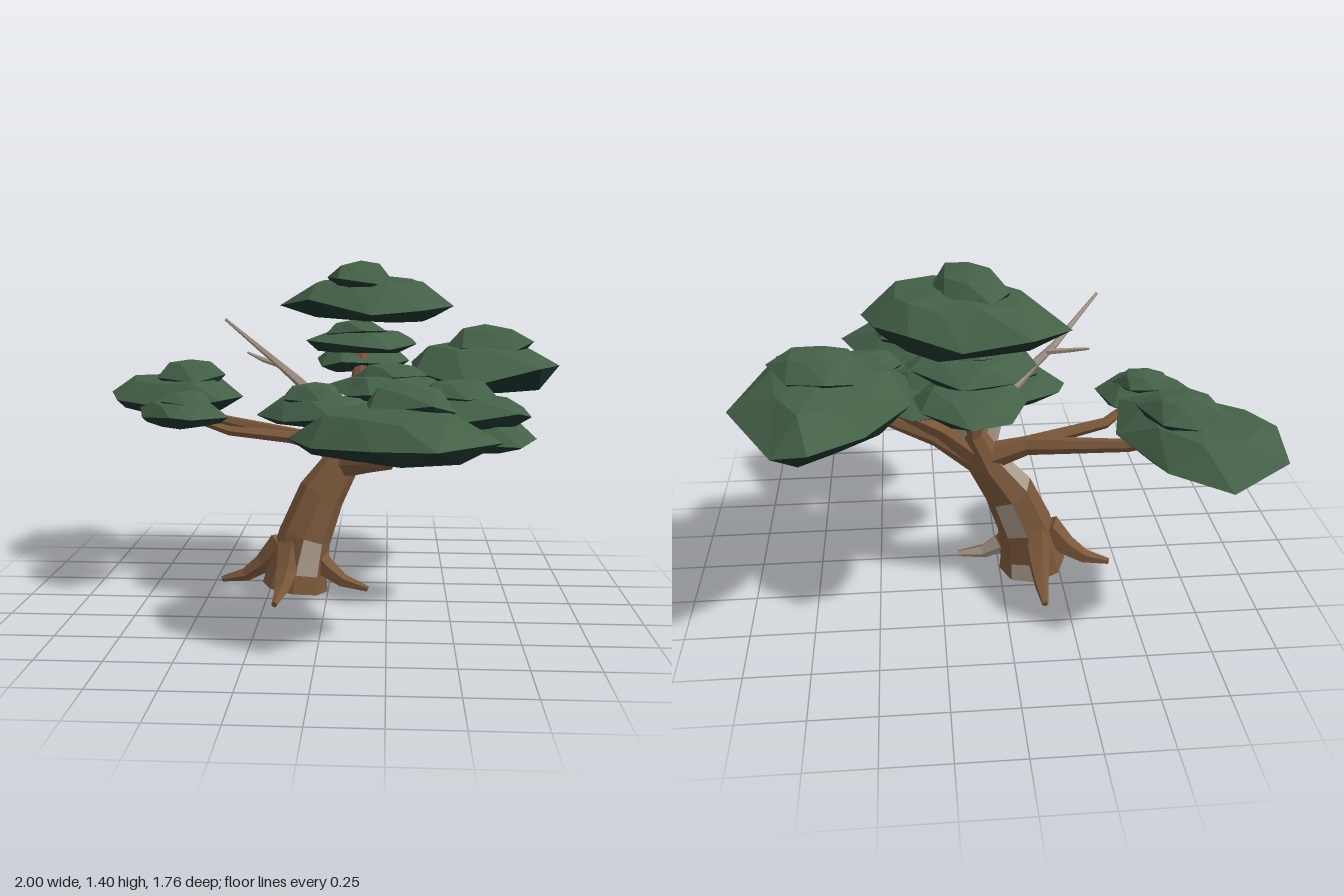
import * as THREE from 'three';

const foliageTop = new THREE.MeshStandardMaterial({ color: 0x446148 });
const foliageUnder = new THREE.MeshStandardMaterial({ color: 0x1d332c });
const bark = new THREE.MeshStandardMaterial({ color: 0x7b583b });
const deadwood = new THREE.MeshStandardMaterial({ color: 0xaa9c8c });
[[foliageTop, 'leaf green'], [foliageUnder, 'deep leaf green'], [bark, 'bark brown'], [deadwood, 'deadwood grey']]
  .forEach(([m, n]) => { m.name = n; });

const V = (x, y, z) => new THREE.Vector3(x, y, z);

function seeded(seed) {
  let s = seed * 7919 + 17;
  return () => { s = (s * 16807) % 2147483647; return s / 2147483647; };
}

// Faceted mesh from a list of corner triples
function facets(name, tris, material) {
  const geometry = new THREE.BufferGeometry().setFromPoints(tris.flat());
  geometry.computeVertexNormals();
  const mesh = new THREE.Mesh(geometry, material);
  mesh.name = name;
  return mesh;
}

// Tapered low-poly limb; each point is [x, y, z, radius]. Bare patches are "ring,side" faces.
function limb(name, points, sides, material = bark, patches = []) {
  const centres = points.map(p => V(p[0], p[1], p[2]));
  const last = points.length - 1;
  const whole = centres[last].clone().sub(centres[0]).normalize();
  const ref = Math.abs(whole.y) < 0.7 ? V(0, 1, 0) : V(0, 0, 1);
  const rings = centres.map((c, i) => {
    const t = centres[Math.min(i + 1, last)].clone().sub(centres[Math.max(i - 1, 0)]).normalize();
    const u = ref.clone().cross(t).normalize();
    const v = t.clone().cross(u);
    return Array.from({ length: sides }, (_, j) => {
      const a = j / sides * Math.PI * 2;
      return c.clone().addScaledVector(u, Math.cos(a) * points[i][3]).addScaledVector(v, Math.sin(a) * points[i][3]);
    });
  });
  const main = [], grey = [];
  for (let j = 0; j < sides; j++) {
    const k = (j + 1) % sides;
    for (let i = 0; i < last; i++) {
      const [a, b, c, d] = [rings[i][j], rings[i][k], rings[i + 1][k], rings[i + 1][j]];
      (patches.includes(`${i},${j}`) ? grey : main).push([a, b, c], [a, c, d]);
    }
    main.push([centres[0], rings[0][k], rings[0][j]], [centres[last], rings[last][j], rings[last][k]]);
  }
  const group = new THREE.Group();
  group.name = name;
  group.add(facets(name + 'Surface', main, material));
  if (grey.length) group.add(facets(name + 'BareStrip', grey, deadwood));
  return group;
}

// Uneven oval outline, ordered from +x towards +z
function oval(cx, cz, rx, rz, n, seed) {
  const rnd = seeded(seed);
  return Array.from({ length: n }, (_, j) => {
    const a = (j + 0.5 * rnd()) / n * Math.PI * 2, r = 0.9 + 0.14 * rnd();
    return [cx + Math.cos(a) * rx * r, cz + Math.sin(a) * rz * r];
  });
}

// Flattened foliage pad: sharp rim, domed top, shallow dark underside
function pad(name, outline, y0, y1, seed) {
  const rnd = seeded(seed), n = outline.length, h = y1 - y0;
  const cx = outline.reduce((s, p) => s + p[0], 0) / n;
  const cz = outline.reduce((s, p) => s + p[1], 0) / n;
  const rim = outline.map(([x, z]) => V(x, y0 + h * (0.22 + 0.34 * rnd()), z));
  const half = (scale, level, centreY, flip) => {
    const inner = rim.map((p, j) => {
      const m = p.clone().add(rim[(j + 1) % n]).multiplyScalar(0.5);
      const s = scale * (0.9 + 0.2 * rnd());
      return V(cx + (m.x - cx) * s, y0 + h * (level + 0.12 * (rnd() - 0.5)), cz + (m.z - cz) * s);
    });
    const centre = V(cx, centreY, cz), tris = [];
    rim.forEach((a, j) => {
      const k = (j + 1) % n;
      tris.push([a, inner[j], rim[k]], [inner[j], inner[k], rim[k]], [inner[j], centre, inner[k]]);
    });
    return flip ? tris.map(([a, b, c]) => [a, c, b]) : tris;
  };
  const group = new THREE.Group();
  group.name = name;
  group.add(facets(name + 'Top', half(0.7, 0.86, y1, false), foliageTop));
  group.add(facets(name + 'Underside', half(0.82, 0.07, y0, true), foliageUnder));
  return group;
}

export function createModel() {
  const tree = new THREE.Group();
  tree.name = 'bonsaiTree';

  // Leaning trunk with strips of bare wood
  tree.add(limb('trunk', [
    [-0.14, 0.014, -0.11, 0.14], [-0.13, 0.09, -0.115, 0.126], [-0.1, 0.23, -0.125, 0.112],
    [-0.03, 0.41, -0.165, 0.1], [0.06, 0.55, -0.195, 0.076], [0.12, 0.7, -0.22, 0.052],
    [0.125, 0.88, -0.28, 0.036], [0.14, 1.03, -0.34, 0.028], [0.15, 1.17, -0.29, 0.024],
  ], 8, bark, ['0,5', '1,2', '2,5', '3,7']));

  // Surface roots spreading to four sides; the left one is partly bare
  const roots = [
    ['rightRoot', -1, -0.1, []], ['leftRoot', 1, 0.27, ['1,4', '2,4', '1,0', '2,0']],
    ['frontRoot', -0.17, 1, []], ['rearRoot', -0.03, -1, []],
  ];
  for (const [name, dx, dz, bare] of roots) {
    const at = (d, y, r) => [-0.145 + dx * d, y, -0.125 + dz * d, r];
    const path = [at(0.05, 0.2, 0.06), at(0.13, 0.11, 0.045), at(0.21, 0.055, 0.03), at(0.315, 0.03, 0.013)];
    tree.add(limb(name, path, 5, bark, bare));
  }

  // Branches carrying the pads
  const branches = [
    ['rightBranch', [[0.08, 0.57, -0.2, 0.06], [-0.1, 0.635, -0.23, 0.038], [-0.47, 0.69, -0.37, 0.025], [-0.68, 0.77, -0.47, 0.012]]],
    ['rightSideBranch', [[-0.08, 0.635, -0.22, 0.03], [-0.42, 0.68, -0.15, 0.022], [-0.6, 0.76, -0.04, 0.01]]],
    ['frontBranch', [[0.06, 0.53, -0.2, 0.06], [0.16, 0.57, 0, 0.04], [0.25, 0.615, 0.2, 0.03], [0.27, 0.75, 0.52, 0.013]]],
    ['leftBranch', [[0.08, 0.56, -0.2, 0.06], [0.25, 0.62, -0.1, 0.036], [0.5, 0.66, 0.05, 0.024], [0.66, 0.71, 0.12, 0.012]]],
    ['leftSideBranch', [[0.26, 0.62, -0.08, 0.028], [0.42, 0.69, 0.02, 0.02], [0.52, 0.8, 0.09, 0.01]]],
    ['leftRearBranch', [[0.11, 0.6, -0.21, 0.05], [0.24, 0.74, -0.27, 0.038], [0.4, 0.85, -0.32, 0.026], [0.66, 0.93, -0.42, 0.012]]],
    ['innerBranch', [[0.1, 0.66, -0.2, 0.035], [0.02, 0.74, -0.06, 0.024], [-0.05, 0.8, 0.06, 0.012]]],
    ['upperRearBranch', [[0.12, 0.84, -0.26, 0.03], [0.12, 0.9, -0.4, 0.02], [0.14, 0.96, -0.5, 0.01]]],
  ];
  for (const [name, points] of branches) tree.add(limb(name, points, 6));

  // Bare dead branches
  const snags = [
    [[0.06, 0.58, -0.18, 0.035], [0, 0.78, -0.13, 0.03], [-0.13, 0.91, -0.09, 0.02], [-0.22, 0.99, -0.07, 0.014], [-0.4, 1.16, 0.04, 0.006]],
    [[-0.19, 0.965, -0.08, 0.013], [-0.27, 0.985, -0.12, 0.01], [-0.34, 1.01, -0.17, 0.005]],
    [[0.1, 0.58, -0.2, 0.035], [0.16, 0.74, -0.25, 0.028], [0.2, 0.85, -0.32, 0.012]],
    [[0.1, 0.6, -0.17, 0.03], [0.15, 0.72, -0.08, 0.022], [0.23, 0.8, 0.13, 0.008]],
  ];
  for (const points of snags) tree.add(limb('deadBranch', points, 5, deadwood));

  // Foliage pads, each large one topped by a smaller mound
  const crown = [[-0.23, -0.44], [-0.07, -0.63], [0.17, -0.62], [0.35, -0.55], [0.47, -0.42], [0.52, -0.24], [0.38, -0.01], [0.18, 0.06], [-0.08, -0.11]];
  const leftRear = [[0.35, -0.48], [0.51, -0.67], [0.69, -0.845], [0.82, -0.78], [1, -0.46], [0.86, -0.02], [0.56, 0.06], [0.36, -0.19]];
  const rightRear = [[-1, -0.48], [-0.96, -0.75], [-0.73, -0.885], [-0.53, -0.75], [-0.4, -0.46], [-0.46, -0.19], [-0.65, -0.17], [-0.95, -0.36]];
  const front = [[-0.12, 0.42], [0.03, 0.17], [0.32, 0.18], [0.51, 0.29], [0.65, 0.63], [0.41, 0.88], [0.2, 0.79], [-0.02, 0.65]];
  const rightSmall = [[-0.79, -0.12], [-0.72, -0.19], [-0.45, -0.17], [-0.4, 0.01], [-0.53, 0.13], [-0.62, 0.12], [-0.76, -0.01]];
  const inner = [[-0.28, 0.04], [-0.24, -0.08], [-0.1, -0.18], [0.12, -0.16], [0.23, 0], [0.2, 0.13], [0.04, 0.22], [-0.16, 0.16]];
  const pads = [
    ['crownPad', crown, 1.13, 1.33],
    ['crownMound', oval(0.12, -0.28, 0.16, 0.22, 6, 2), 1.24, 1.39],
    ['upperPad', oval(0.13, -0.34, 0.26, 0.23, 8, 3), 1, 1.1],
    ['upperMound', oval(0.1, -0.33, 0.14, 0.13, 6, 4), 1.06, 1.14],
    ['upperRearPad', oval(0.13, -0.47, 0.22, 0.26, 8, 5), 0.91, 1.02],
    ['centrePad', oval(0.28, -0.17, 0.3, 0.26, 8, 6), 0.82, 0.93],
    ['centreMound', oval(0.27, -0.17, 0.16, 0.14, 6, 8), 0.88, 0.97],
    ['leftRearPad', leftRear, 0.84, 1.06],
    ['leftRearMound', oval(0.67, -0.35, 0.2, 0.19, 7, 7), 0.98, 1.12],
    ['rightRearPad', rightRear, 0.72, 0.88],
    ['rightRearMound', oval(-0.63, -0.47, 0.18, 0.17, 6, 9), 0.82, 0.95],
    ['rightSmallPad', rightSmall, 0.72, 0.83],
    ['rightSmallMound', oval(-0.58, -0.05, 0.13, 0.11, 6, 11), 0.78, 0.86],
    ['frontPad', front, 0.7, 0.88],
    ['frontMound', oval(0.33, 0.43, 0.18, 0.17, 6, 13), 0.82, 0.95],
    ['innerPad', inner, 0.74, 0.86],
    ['innerMound', oval(-0.05, 0.03, 0.14, 0.12, 6, 15), 0.81, 0.91],
    ['leftPad', oval(0.53, 0.07, 0.3, 0.21, 9, 16), 0.75, 0.87],
    ['leftMound', oval(0.53, 0.07, 0.16, 0.13, 6, 17), 0.82, 0.93],
    ['leftLowPad', oval(0.65, 0.1, 0.18, 0.17, 8, 18), 0.65, 0.78],
  ];
  pads.forEach(([name, outline, y0, y1], i) => tree.add(pad(name, outline, y0, y1, i + 21)));
  return tree;
}
